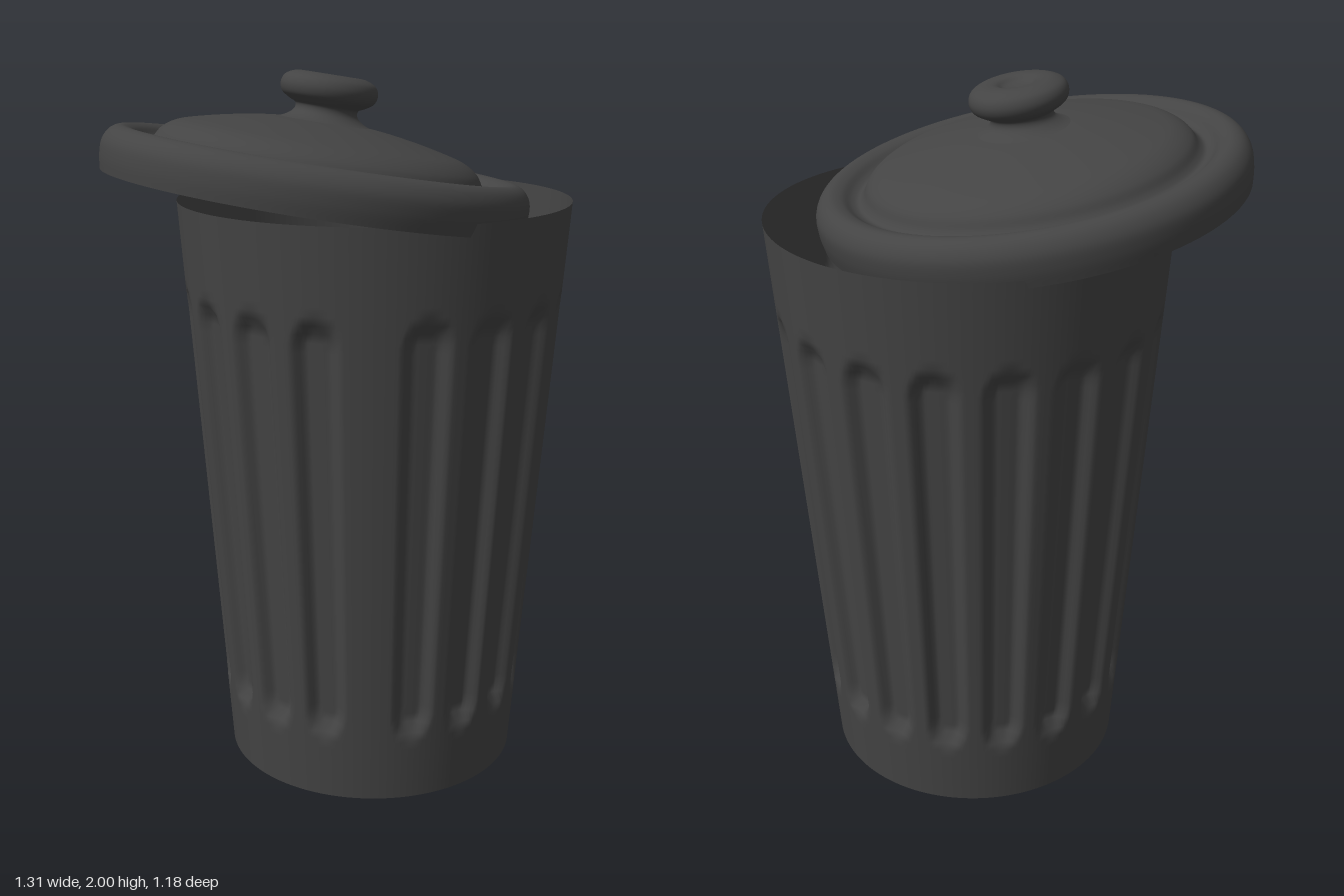
import * as THREE from 'three';

const metal = new THREE.MeshStandardMaterial({ color: 0x444444, side: THREE.DoubleSide });
const RAD = Math.PI / 180;
const HEIGHT = 1.65, TOP_R = 0.55, BASE_R = 0.425;

// Flutes run round the can, leaving one wider plain strip for the seam
const FLUTES = 17, FIRST = -6, STEP = 20.5, SEAM = -22;

function part(name, geometry) {
  const mesh = new THREE.Mesh(geometry, metal);
  mesh.name = name;
  return mesh;
}

// Depth of the nearest round-ended flute at an angle (degrees) and height
function fluteDepth(deg, y) {
  const i = Math.min(FLUTES - 1, Math.max(0, Math.round((deg - FIRST) / STEP)));
  const across = (deg - FIRST - i * STEP) * RAD * 0.49;
  const along = Math.max(0, y - 1.34, 0.26 - y);
  return 0.03 * (1 - THREE.MathUtils.smoothstep(Math.hypot(across, along), 0.03, 0.066));
}

// Tapered wall with the flutes pressed inwards
function wallGeometry() {
  const cols = 340, rows = 64;
  const geo = new THREE.CylinderGeometry(TOP_R, BASE_R, HEIGHT, cols, rows, true, SEAM * RAD);
  geo.translate(0, HEIGHT / 2, 0);
  const pos = geo.attributes.position;
  for (let i = 0; i < pos.count; i++) {
    const deg = SEAM + (360 * (i % (cols + 1))) / cols;
    const y = pos.getY(i);
    const r = THREE.MathUtils.lerp(BASE_R, TOP_R, y / HEIGHT) - fluteDepth(deg, y);
    pos.setXYZ(i, r * Math.sin(deg * RAD), y, r * Math.cos(deg * RAD));
  }
  geo.computeVertexNormals();
  return geo;
}

// Smooth turned shape through [radius, height] points
function turned(points) {
  const curve = new THREE.SplineCurve(points.map(([r, y]) => new THREE.Vector2(r, y)));
  const profile = curve.getPoints(points.length * 5);
  profile.forEach((p) => { p.x = Math.max(0, p.x); });
  return new THREE.LatheGeometry(profile, 96);
}

export function createModel() {
  const model = new THREE.Group();
  model.name = 'trashCan';

  // Can: fluted wall and floor
  const can = new THREE.Group();
  can.name = 'can';
  can.position.set(0.105, 0, -0.012);
  const floor = part('floor', new THREE.CircleGeometry(BASE_R, 96));
  floor.rotation.x = Math.PI / 2;
  floor.position.y = 0.001;
  can.add(part('flutedWall', wallGeometry()), floor);
  model.add(can);

  // Lid: rolled rim, groove and shallow dome, tipped towards the right
  const lid = new THREE.Group();
  lid.name = 'lid';
  lid.position.set(-0.08, 1.655, 0);
  lid.rotation.z = -9.4 * RAD;
  lid.add(part('lidShell', turned([
    [0.582, 0], [0.588, 0.04], [0.586, 0.08], [0.568, 0.11], [0.54, 0.123],
    [0.51, 0.116], [0.487, 0.098], [0.468, 0.092], [0.452, 0.104], [0.435, 0.13],
    [0.405, 0.152], [0.36, 0.168], [0.25, 0.192], [0.13, 0.209], [0, 0.214],
  ])));

  // Knob: flared neck and flattened ball with a dimple on top
  lid.add(part('knob', turned([
    [0.145, 0.203], [0.11, 0.215], [0.088, 0.232], [0.086, 0.25], [0.105, 0.26],
    [0.126, 0.275], [0.133, 0.298], [0.124, 0.32], [0.1, 0.333], [0.075, 0.336],
    [0.055, 0.333], [0.035, 0.322], [0, 0.318],
  ])));
  model.add(lid);

  return model;
}
